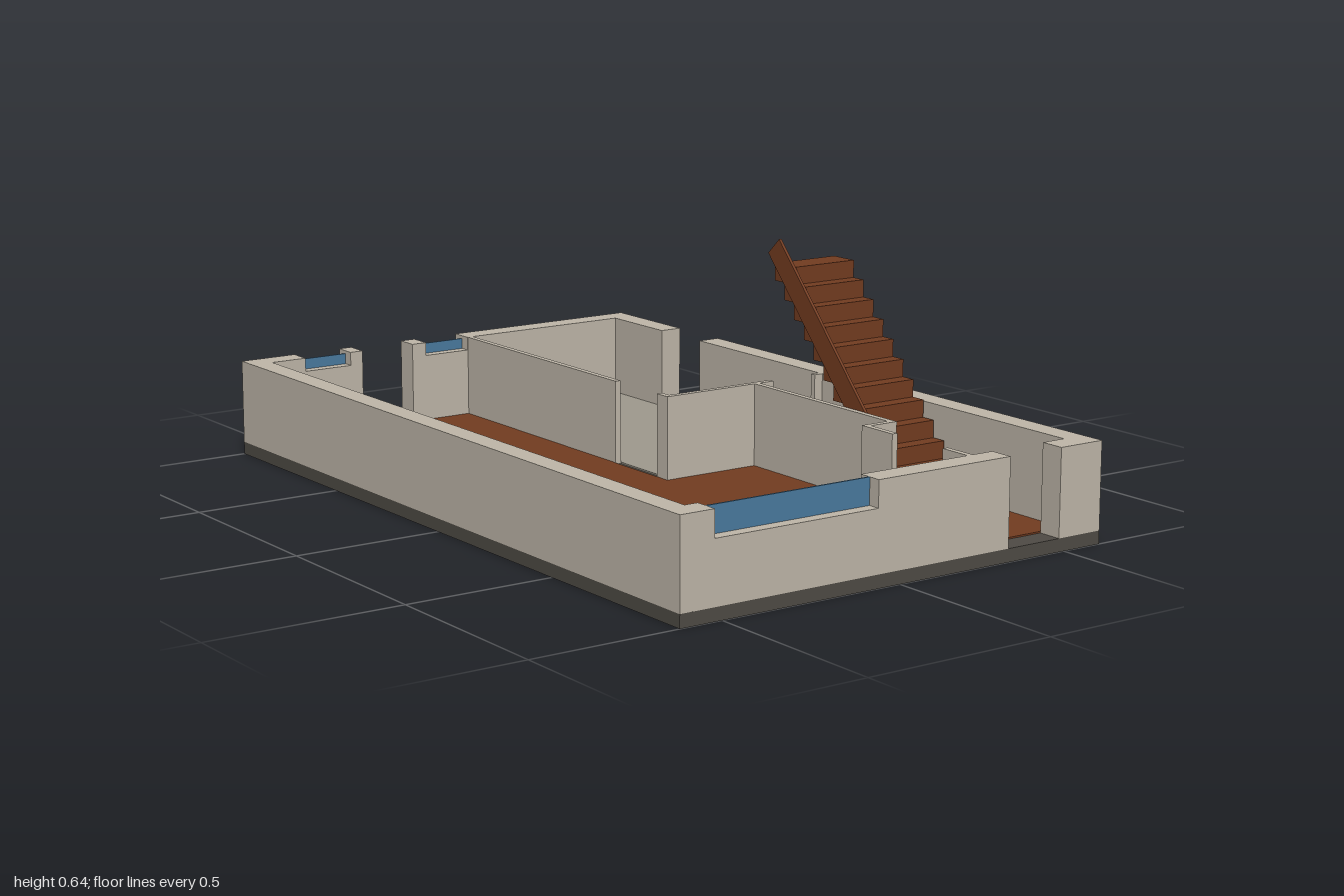
import * as THREE from 'three';

const mat = (color) => new THREE.MeshStandardMaterial({ color, flatShading: true });
const WALL = mat(0xbfb7a9), BASE = mat(0x4f4b45), WOOD = mat(0x733c20);
const STONE = mat(0x9f9a8e), GLASS = mat(0x4a7ba0);
const Y0 = 0.033, Y1 = 0.253, FLOOR = 0.037; // slab top, wall top, floor top

export function createModel() {
  const model = new THREE.Group();
  model.name = 'house';

  const add = (name, geometry, material, parent = model) => {
    const mesh = new THREE.Mesh(geometry, material);
    mesh.name = name;
    parent.add(mesh);
    return mesh;
  };
  // Box given by its limits on each axis
  const block = (name, material, [x0, x1], [y0, y1], [z0, z1], parent) => {
    const mesh = add(name, new THREE.BoxGeometry(x1 - x0, y1 - y0, z1 - z0), material, parent);
    mesh.position.set((x0 + x1) / 2, (y0 + y1) / 2, (z0 + z1) / 2);
    return mesh;
  };
  // Flat floor from an outline of [x, z] points
  const floor = (name, material, outline) => {
    const shape = new THREE.Shape(outline.map(([x, z]) => new THREE.Vector2(x, -z)));
    const geometry = new THREE.ExtrudeGeometry(shape, { depth: FLOOR - Y0, bevelEnabled: false });
    geometry.rotateX(-Math.PI / 2).translate(0, Y0, 0);
    add(name, geometry, material);
  };
  // Wall running along x or z, with window notches [start, end, sill] in ascending order
  const wall = (name, axis, [from, to], [c0, c1], notches = []) => {
    const shape = new THREE.Shape();
    shape.moveTo(from, Y0);
    shape.lineTo(to, Y0);
    shape.lineTo(to, Y1);
    for (const [a, b, sill] of [...notches].reverse()) {
      shape.lineTo(b, Y1);
      shape.lineTo(b, sill);
      shape.lineTo(a, sill);
      shape.lineTo(a, Y1);
    }
    shape.lineTo(from, Y1);
    const geometry = new THREE.ExtrudeGeometry(shape, { depth: c1 - c0, bevelEnabled: false });
    if (axis === 'z') geometry.rotateY(-Math.PI / 2).translate(c1, 0, 0);
    else geometry.translate(0, 0, c0);
    add(name, geometry, WALL);
  };

  // Foundation and floors
  block('foundation', BASE, [-0.613, 0.613], [0, Y0], [-1, 1]);
  floor('livingRoomFloor', WOOD, [
    [-0.555, -0.938], [0.055, -0.938], [0.055, 0.016], [0.33, 0.016],
    [0.33, 0.55], [0.25, 0.55], [0.25, 0.936], [-0.555, 0.936],
  ]);
  floor('hallFloor', WOOD, [[0.266, 0.566], [0.551, 0.566], [0.551, 0.936], [0.266, 0.936]]);
  floor('backRoomFloor', STONE, [[0.071, -0.938], [0.551, -0.938], [0.551, 0], [0.071, 0]]);
  floor('closetFloor', STONE, [[0.348, 0.016], [0.551, 0.016], [0.551, 0.566], [0.348, 0.566]]);

  // Outer walls, interrupted by three doorways
  const frontZ = [0.936, 1], backZ = [-1, -0.938], rightX = [0.551, 0.613];
  wall('leftSideWall', 'z', [-1, 1], [-0.613, -0.555]);
  wall('rightSideWallBack', 'z', [-1, -0.708], rightX);
  wall('rightSideWallFront', 'z', [-0.528, 1], rightX);
  wall('frontWall', 'x', [-0.555, 0.326], frontZ, [[-0.52, -0.066, 0.187]]);
  wall('frontWallCorner', 'x', [0.484, 0.551], frontZ);
  wall('backWall', 'x', [-0.555, -0.28], backZ, [[-0.455, -0.317, 0.217]]);
  wall('backWallLong', 'x', [-0.123, 0.551], backZ, [[-0.08, 0.053, 0.217]]);

  // Window panes
  block('frontWindow', GLASS, [-0.52, -0.066], [0.187, Y1], [0.963, 0.968]);
  for (const x of [[-0.455, -0.317], [-0.08, 0.053]])
    block('backWindow', GLASS, x, [0.217, 0.245], [-0.971, -0.966]);

  // Thin partitions with doorways
  wall('backRoomPartition', 'z', [-0.938, -0.215], [0.055, 0.071]);
  wall('backRoomDoorPost', 'z', [-0.03, 0], [0.055, 0.071]);
  wall('crossPartition', 'x', [0.055, 0.39], [0, 0.016]);
  wall('crossDoorPost', 'x', [0.526, 0.551], [0, 0.016]);
  wall('stairPartition', 'z', [0.016, 0.55], [0.33, 0.346]);
  wall('hallCornerPartition', 'x', [0.25, 0.346], [0.55, 0.566]);
  wall('hallPartition', 'z', [0.566, 0.665], [0.25, 0.266]);
  wall('hallDoorPost', 'z', [0.848, 0.936], [0.25, 0.266]);

  // Staircase: overlapping solid treads beside one sloping board
  const stairs = new THREE.Group();
  stairs.name = 'staircase';
  model.add(stairs);
  const rise = 0.0449, run = 0.0405;
  for (let i = 0; i < 12; i++) {
    const z = 0.59 - i * run, y = Y0 + i * rise;
    block('step', WOOD, [0.355, 0.547], [y, y + rise], [z - 0.08, z], stairs);
  }
  const stringer = add('stringer', new THREE.BoxGeometry(0.008, 0.06, 0.782), WOOD, stairs);
  stringer.position.set(0.351, 0.328, 0.332);
  stringer.rotation.x = 0.831;

  return model;
}
